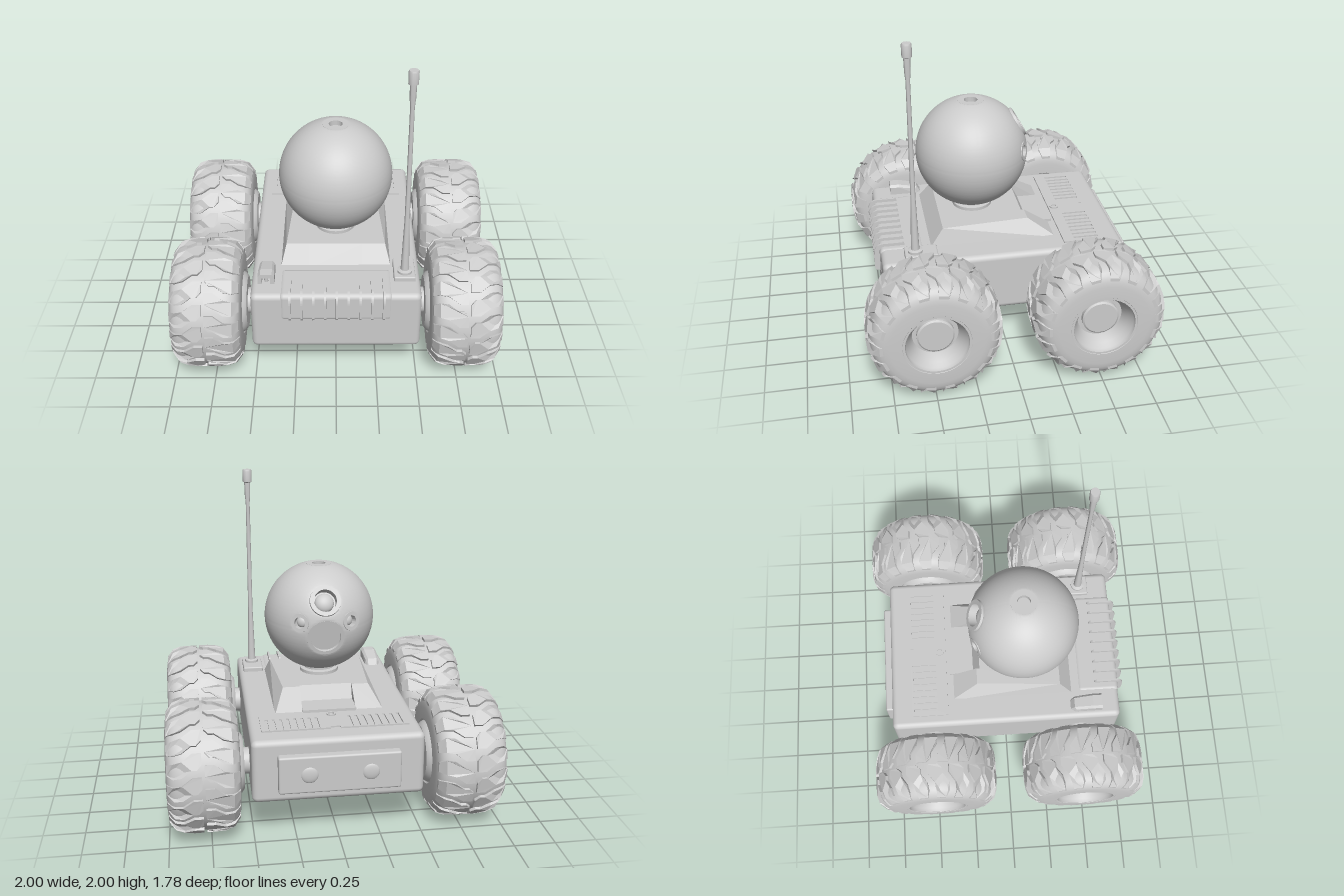
import * as THREE from 'three';
import { mergeGeometries, toCreasedNormals } from 'three/addons/utils/BufferGeometryUtils.js';
import { RoundedBoxGeometry } from 'three/addons/geometries/RoundedBoxGeometry.js';
import { ConvexGeometry } from 'three/addons/geometries/ConvexGeometry.js';

const grey = new THREE.MeshStandardMaterial({ color: 0xcccccc });
const V = (x, y, z) => new THREE.Vector3(x, y, z);

function add(parent, name, geometry, x = 0, y = 0, z = 0) {
  const mesh = new THREE.Mesh(geometry, grey);
  mesh.name = name;
  mesh.position.set(x, y, z);
  parent.add(mesh);
  return mesh;
}

const poly = (pts) => new THREE.Shape(pts.map(([x, y]) => new THREE.Vector2(x, y)));
const lathe = (pts, seg = 40) => toCreasedNormals(
  new THREE.LatheGeometry(pts.map(([r, y]) => new THREE.Vector2(r, y)), seg), 0.6);
const extrude = (shape, depth, bevel = 0) => new THREE.ExtrudeGeometry(shape, {
  depth, bevelEnabled: bevel > 0, bevelSize: bevel, bevelThickness: bevel, bevelSegments: 2, curveSegments: 10 });

// Tyre radius at an axial offset from the wheel's middle
const HALF = 0.215;
const tyreRadius = (a) => 0.2 + 0.182 * Math.pow(Math.max(0, 1 - Math.pow(Math.abs(a) / HALF, 4)), 0.25);

// One bent tread lug per side, wrapped on the tyre and repeated round it
function treadGeometry() {
  const outline = [[0.008, -0.035], [0.06, -0.035], [0.12, 0.01], [0.17, 0.02], [0.207, 0.02],
    [0.207, 0.09], [0.17, 0.108], [0.12, 0.1], [0.065, 0.06], [0.035, 0.06], [0.008, 0.03]];
  const lugs = [], count = 18;
  for (const side of [1, -1]) {
    for (let i = 0; i < count; i++) {
      const g = extrude(poly(outline.map(([a, s]) => [a * side, s])), 0.028);
      const p = g.attributes.position;
      const turn = ((i + (side > 0 ? 0 : 0.5)) / count) * Math.PI * 2;
      for (let k = 0; k < p.count; k++) {
        const a = p.getX(k), t = p.getY(k) / 0.39 + turn, r = tyreRadius(a) + p.getZ(k) - 0.01;
        p.setXYZ(k, a, r * Math.cos(t), -r * Math.sin(t));
      }
      g.computeVertexNormals();
      lugs.push(g);
    }
  }
  return mergeGeometries(lugs);
}

function tyreGeometry() {
  const pts = [[0.19, -0.205]];
  for (let i = 0; i <= 28; i++) {
    const t = -Math.PI / 2 + (i / 28) * Math.PI;
    const a = HALF * Math.sin(t);
    pts.push([tyreRadius(a), a]);
  }
  pts.push([0.192, 0.205]);
  return lathe(pts, 64);
}

function buildWheels(group) {
  const tread = treadGeometry(), tyre = tyreGeometry();
  const rim = lathe([[0.203, 0.19], [0.203, 0.213], [0.185, 0.213], [0.18, 0.19], [0.155, 0.165],
    [0.135, 0.1], [0.11, 0.1], [0.11, 0.125], [0.1, 0.132], [0, 0.132]], 48);
  const boss = lathe([[0, -0.24], [0.16, -0.24], [0.18, -0.225], [0.2, -0.19]], 48);
  for (const x of [1, -1]) for (const z of [1, -1]) {
    const wheel = new THREE.Group();
    wheel.name = 'wheel';
    for (const [name, g] of [['tyre', tyre], ['rim', rim], ['innerBoss', boss]]) {
      add(wheel, name, g).rotation.z = -Math.PI / 2;
    }
    add(wheel, 'tread', tread);
    wheel.position.set(x * 0.785, 0.4, z * 0.49);
    if (x < 0) wheel.rotation.y = Math.PI;
    group.add(wheel);
  }
  for (const z of [0.49, -0.49]) {
    add(group, 'axle', new THREE.CylinderGeometry(0.08, 0.08, 1.16, 32), 0, 0.41, z).rotation.z = Math.PI / 2;
  }
}

// Ball head with flattened spots and sunken lenses
function buildHead(group) {
  const head = new THREE.Group();
  head.name = 'head';
  head.position.set(0, 1.12, 0.13);
  group.add(head);
  const R = 0.35;
  const spots = [
    { name: 'topSocket', n: V(0, 1, 0), flat: 0.085, hole: 0.042, depth: 0.03, rim: 0, lens: 0 },
    { name: 'mainEye', n: V(0, 0.5, -0.86), flat: 0.1, hole: 0.07, depth: 0.05, rim: 0.014, lens: 0.06 },
    { name: 'speakerDisc', n: V(0, -0.17, -0.985), flat: 0.12, hole: 0.095, depth: 0.02, rim: 0, lens: 0 },
    { name: 'sideEye', n: V(-0.46, 0.115, -0.88), flat: 0.062, hole: 0.036, depth: 0.035, rim: 0.004, lens: 0.032 },
    { name: 'sideEye', n: V(0.46, 0.115, -0.88), flat: 0.062, hole: 0.036, depth: 0.035, rim: 0.004, lens: 0.032 },
  ];
  for (const s of spots) {
    s.n.normalize();
    s.d = Math.sqrt(R * R - s.flat * s.flat);
  }
  const ball = new THREE.SphereGeometry(R, 192, 128);
  const p = ball.attributes.position, v = V(0, 0, 0);
  for (let i = 0; i < p.count; i++) {
    v.fromBufferAttribute(p, i);
    for (const s of spots) {
      const h = v.dot(s.n);
      if (h <= s.d) continue;
      const across = Math.sqrt(Math.max(0, R * R - h * h));
      v.addScaledVector(s.n, s.d - h - (across < s.hole + 0.012 ? s.depth : 0));
    }
    p.setXYZ(i, v.x, v.y, v.z);
  }
  add(head, 'ball', toCreasedNormals(ball, 0.4));
  for (const s of spots) {
    const spot = new THREE.Group();
    spot.name = s.name;
    spot.position.copy(s.n).multiplyScalar(s.d);
    spot.quaternion.setFromUnitVectors(V(0, 1, 0), s.n);
    head.add(spot);
    const top = s.rim + 0.001;
    add(spot, 'collar', lathe([[s.flat - 0.001, -0.015], [s.flat - 0.004, top], [s.hole, top],
      [s.hole, -s.depth - 0.005]], 40));
    if (s.lens) {
      const lens = add(spot, 'lens', new THREE.SphereGeometry(s.lens, 32, 12, 0, Math.PI * 2, 0, Math.PI / 2), 0, -s.depth, 0);
      lens.scale.y = 0.6;
    }
  }
  add(group, 'neck', lathe([[0.125, 0.735], [0.125, 0.765], [0.1, 0.77], [0.1, 0.82]]), 0, 0, 0.13);
}

// Raised deck: two side blocks and a middle block with a notch at the rear
function buildDeck(group) {
  const y0 = 0.625, y1 = 0.745;
  for (const s of [1, -1]) {
    add(group, 'deckSide', new ConvexGeometry([
      V(s * 0.165, y0, 0.45), V(s * 0.34, y0, 0.45), V(s * 0.34, y0, -0.36), V(s * 0.165, y0, -0.36),
      V(s * 0.165, y1, 0.36), V(s * 0.305, y1, 0.36), V(s * 0.27, y1, -0.18), V(s * 0.165, y1, -0.18)]));
  }
  const mid = [];
  for (const x of [-0.165, 0.165]) mid.push(V(x, y0, 0.45), V(x, y0, -0.22), V(x, y1, 0.36), V(x, y1, -0.16));
  add(group, 'deckMiddle', new ConvexGeometry(mid));
  add(group, 'deckNotchFloor', new THREE.BoxGeometry(0.33, 0.025, 0.16), 0, 0.645, -0.28);
}

function buildBody(group) {
  add(group, 'body', new RoundedBoxGeometry(1.02, 0.39, 1.5, 4, 0.035), 0, 0.445, 0);

  // Rear vent plate with two banks of slots
  const plate = poly([[-0.44, 0.38], [0.44, 0.38], [0.44, 0.615], [0.03, 0.615], [0.03, 0.595],
    [-0.03, 0.595], [-0.03, 0.615], [-0.44, 0.615]]);
  for (const s of [1, -1]) for (let i = 0; i < 8; i++) {
    const x = s * (0.1 + i * 0.043);
    plate.holes.push(poly([[x - 0.008, 0.45], [x + 0.008, 0.45], [x + 0.008, 0.605], [x - 0.008, 0.605]]));
  }
  add(group, 'ventPlate', extrude(plate, 0.014), 0, 0.635, 0).rotation.x = -Math.PI / 2;
  add(group, 'ventScrew', lathe([[0.028, 0], [0.028, 0.012], [0.016, 0.012], [0.016, 0.004], [0, 0.004]], 24), 0, 0.645, -0.42);

  // Front grille: a thin wrap-over panel carrying curved fins
  add(group, 'grillePanel', new RoundedBoxGeometry(0.68, 0.19, 0.275, 3, 0.03), 0, 0.55, 0.617);
  const fin = new THREE.Shape();
  fin.moveTo(0.6, 0.63);
  fin.lineTo(0.6, 0.655);
  fin.lineTo(0.61, 0.664);
  fin.lineTo(0.73, 0.664);
  fin.quadraticCurveTo(0.785, 0.66, 0.788, 0.6);
  fin.lineTo(0.788, 0.5);
  fin.lineTo(0.778, 0.482);
  fin.lineTo(0.74, 0.482);
  fin.lineTo(0.74, 0.6);
  fin.lineTo(0.7, 0.63);
  const finGeometry = extrude(fin, 0.014);
  for (let i = 0; i < 9; i++) {
    add(group, 'grilleFin', finGeometry, -0.268 + i * 0.07, 0, 0).rotation.y = -Math.PI / 2;
  }

  // Back plate with two domed lamps
  add(group, 'backPlate', new RoundedBoxGeometry(0.72, 0.23, 0.08, 3, 0.012), 0, 0.44, -0.76);
  for (const x of [-0.18, 0.18]) {
    add(group, 'backLamp', new THREE.SphereGeometry(0.05, 28, 16), x, 0.44, -0.798).scale.z = 0.26;
  }
}

function buildTopFittings(group) {
  // Antenna on its mount
  add(group, 'antennaMount', new RoundedBoxGeometry(0.13, 0.04, 0.2, 2, 0.008), 0.415, 0.65, 0.51);
  add(group, 'antenna', lathe([[0.045, 0.66], [0.045, 0.685], [0.026, 0.69], [0.024, 0.75], [0.015, 1.05],
    [0.013, 1.78], [0.018, 1.83], [0.02, 1.915], [0.029, 1.92], [0.03, 1.99], [0.026, 2], [0, 2]], 24), 0.417, 0, 0.545);

  // Small hooded fitting: open arch in front, sloping back behind it
  const arch = poly([[-0.05, 0], [0.05, 0], [0.05, 0.06], [0.035, 0.075], [-0.035, 0.075], [-0.05, 0.06]]);
  arch.holes.push(poly([[-0.025, 0.005], [0.025, 0.005], [0.025, 0.05], [-0.025, 0.05]]));
  add(group, 'hoodArch', extrude(arch, 0.06), -0.42, 0.63, 0.57);
  const slope = [];
  for (const s of [1, -1]) {
    slope.push(V(s * 0.05, 0, 0.57), V(s * 0.05, 0.06, 0.57), V(s * 0.035, 0.075, 0.57),
      V(s * 0.05, 0, 0.45), V(s * 0.03, 0, 0.42), V(s * 0.045, 0.04, 0.46), V(s * 0.03, 0.05, 0.45));
  }
  add(group, 'hoodBack', new ConvexGeometry(slope), -0.42, 0.63, 0);
  add(group, 'hoodPin', new THREE.CylinderGeometry(0.012, 0.012, 0.045, 16), -0.42, 0.655, 0.6);
}

export function createModel() {
  const group = new THREE.Group();
  group.name = 'roverRobot';
  buildBody(group);
  buildDeck(group);
  buildTopFittings(group);
  buildWheels(group);
  buildHead(group);
  return group;
}
